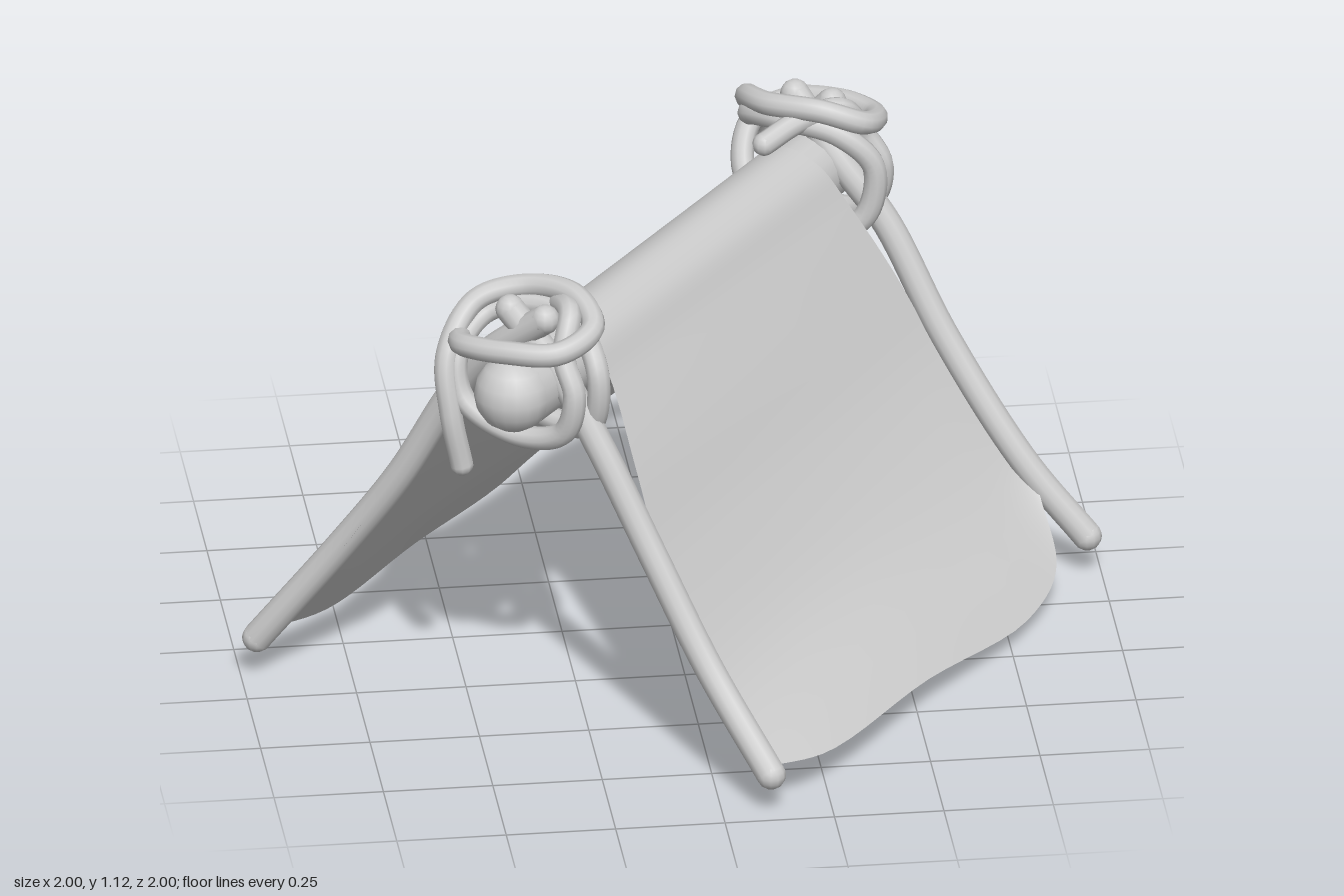
import * as THREE from 'three';

const grey = new THREE.MeshStandardMaterial({ color: 0xcccccc });
const clothMat = new THREE.MeshStandardMaterial({ color: 0xcccccc, side: THREE.DoubleSide });
const vecs = (pts) => pts.map((p) => new THREE.Vector3(...p));

// Round rod along a smooth path, closed by a ball at each end
function rod(name, pts, radius, segments, sides = 12) {
  const g = new THREE.Group();
  g.name = name;
  const curve = new THREE.CatmullRomCurve3(vecs(pts));
  g.add(new THREE.Mesh(new THREE.TubeGeometry(curve, segments, radius, sides), grey));
  for (const p of [pts[0], pts[pts.length - 1]]) {
    const cap = new THREE.Mesh(new THREE.SphereGeometry(radius, sides, 8), grey);
    cap.position.set(...p);
    g.add(cap);
  }
  return g;
}

// Slightly crooked poles, two crossing at each end; x runs along the ridge
const poles = {
  frontLeftPole: [
    [-0.695, 0.1, -0.68], [-0.645, 0.36, -0.49], [-0.625, 0.57, -0.345],
    [-0.615, 0.81, -0.21], [-0.63, 0.95, -0.1], [-0.635, 1.07, 0.045],
  ],
  frontRightPole: [
    [-0.69, 0.1, 0.675], [-0.645, 0.3, 0.485], [-0.627, 0.54, 0.325],
    [-0.622, 0.78, 0.18], [-0.62, 0.94, 0.07], [-0.63, 1.07, -0.05],
  ],
  backLeftPole: [
    [0.7, 0.1, -0.68], [0.645, 0.45, -0.386], [0.645, 0.73, -0.2],
    [0.635, 0.93, -0.08], [0.635, 1.07, 0.045],
  ],
  backRightPole: [
    [0.708, 0.1, 0.675], [0.667, 0.27, 0.533], [0.65, 0.55, 0.33],
    [0.645, 0.8, 0.18], [0.62, 0.94, 0.07], [0.63, 1.07, -0.05],
  ],
};

// One continuous rope wound around the pole crossing; side +1 is the front end, -1 mirrors it
function lashing(side) {
  const path = [
    [-0.71, 0.69, -0.13], [-0.725, 0.82, -0.15], [-0.7, 0.95, -0.175],
    [-0.6, 1.05, -0.16], [-0.53, 1.085, -0.06], [-0.54, 1.095, 0.07],
    [-0.6, 1.06, 0.15], [-0.7, 1.03, 0.12], [-0.74, 1.02, 0],
    [-0.72, 1.0, -0.12], [-0.64, 0.97, -0.17], [-0.57, 0.88, -0.15],
    [-0.55, 0.8, -0.07], [-0.56, 0.775, 0.06], [-0.6, 0.82, 0.15],
    [-0.61, 0.95, 0.17], [-0.57, 1.03, 0.1], [-0.54, 1.05, -0.02],
    [-0.58, 1.02, -0.14], [-0.68, 0.95, -0.16], [-0.7, 0.85, -0.13],
    [-0.68, 0.785, 0], [-0.68, 0.82, 0.12], [-0.68, 0.92, 0.15],
    [-0.66, 1.0, 0.11], [-0.6, 1.08, 0.09], [-0.53, 1.06, 0.02],
    [-0.46, 1.02, -0.03],
  ].map(([x, y, z]) => [x * side, y, z]);
  return rod('lashingRope', path, 0.027, 220, 10);
}

// Cloth lofted over the ridge, hem to hem, from rows that run along the ridge
function cloth() {
  const leftHem = [
    [-0.685, 0.12, -0.665], [-0.36, 0.03, -0.685], [0.06, 0.005, -0.71],
    [0.37, 0.03, -0.67], [0.565, 0.1, -0.63], [0.655, 0.2, -0.545],
  ];
  const rightHem = [
    [-0.69, 0.12, 0.67], [-0.52, 0.095, 0.72], [-0.08, 0.085, 0.72],
    [0.37, 0.05, 0.725], [0.565, 0.09, 0.68], [0.648, 0.21, 0.585],
  ];
  // Each row: height, then x and z of its front end, x and z of its back end
  const rows = [
    [0.25, -0.68, -0.55, 0.665, -0.455],
    [0.5, -0.66, -0.385, 0.64, -0.295],
    [0.7, -0.61, -0.26, 0.605, -0.19],
    [0.87, -0.54, -0.14, 0.56, -0.12],
    [0.96, -0.51, -0.075, 0.53, -0.075],
    [0.992, -0.49, 0, 0.52, 0],
    [0.96, -0.48, 0.075, 0.53, 0.075],
    [0.87, -0.485, 0.13, 0.56, 0.13],
    [0.7, -0.55, 0.235, 0.605, 0.225],
    [0.5, -0.61, 0.345, 0.63, 0.34],
    [0.27, -0.65, 0.505, 0.655, 0.51],
  ].map(([y, x0, z0, x1, z1]) => [0, 0.2, 0.45, 0.72, 0.9, 1].map((k) => [
    THREE.MathUtils.lerp(x0, x1, k), y, THREE.MathUtils.lerp(z0, z1, k),
  ]));
  const curves = [leftHem, ...rows, rightHem].map((r) => new THREE.CatmullRomCurve3(vecs(r)));

  const nu = 32, nv = 64;
  const geo = new THREE.PlaneGeometry(1, 1, nu, nv);
  const pos = geo.attributes.position;
  for (let i = 0; i <= nu; i++) {
    const across = new THREE.CatmullRomCurve3(curves.map((c) => c.getPoint(i / nu)));
    for (let j = 0; j <= nv; j++) {
      const p = across.getPoint(j / nv);
      pos.setXYZ(j * (nu + 1) + i, p.x, p.y, p.z);
    }
  }
  geo.computeVertexNormals();
  const mesh = new THREE.Mesh(geo, clothMat);
  mesh.name = 'clothCover';
  return mesh;
}

export function createModel() {
  const model = new THREE.Group();
  model.name = 'tent';

  // Built along x, then turned to the diagonal
  const body = new THREE.Group();
  body.name = 'tentBody';
  body.rotation.y = Math.atan2(0.79, 0.613);
  model.add(body);

  body.add(rod('ridgePole', [[-0.7, 0.9, 0], [0, 0.895, 0], [0.7, 0.9, 0]], 0.09, 8, 20));
  body.add(cloth());
  for (const [name, path] of Object.entries(poles)) body.add(rod(name, path, 0.034, 40));
  for (const side of [1, -1]) body.add(lashing(side));
  return model;
}
